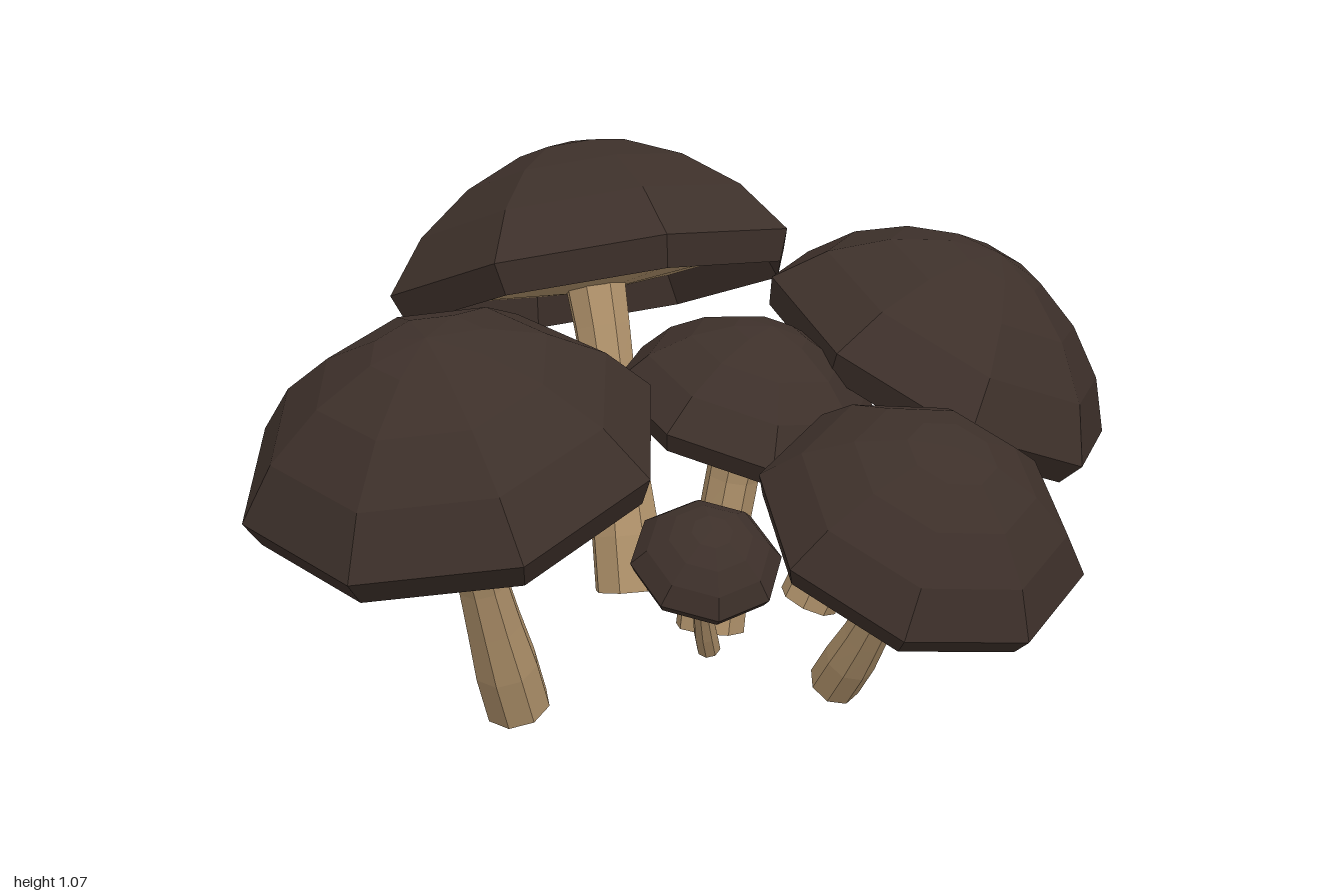
import * as THREE from 'three';

const SIDES = 8;
const UP = new THREE.Vector3(0, 1, 0);
const capMat = new THREE.MeshStandardMaterial({ color: 0x3d302a, flatShading: true });
const stemMat = new THREE.MeshStandardMaterial({ color: 0xb0926b, flatShading: true });
const gillMat = new THREE.MeshStandardMaterial({ color: 0xb0926b, flatShading: true });

// Profiles for a cap of radius 1, measured from its widest ring
const CAP_PROFILE = [[0.88, 0.01], [0.94, -0.14], [1, 0], [0.81, 0.25], [0.55, 0.45], [0.27, 0.58], [0, 0.63]];
const GILL_PROFILE = [[0, -0.1], [0.88, 0.01]];

// cap: centre of the widest ring, axis: cap tilt, yaw: corner angle in degrees
const MUSHROOMS = [
  { name: 'backMushroom', cap: [0.115, 0.755, -0.525], radius: 0.485, axis: [0.03, 0.92, -0.375], yaw: 8, base: [0.08, 0.055, -0.3], stem: 0.082 },
  { name: 'rightMushroom', cap: [-0.6, 0.64, 0.205], radius: 0.42, axis: [-0.26, 0.96, 0.18], yaw: 9, base: [-0.405, 0.02, 0.08], stem: 0.07 },
  { name: 'leftMushroom', cap: [0.625, 0.64, 0.125], radius: 0.42, axis: [0.39, 1, 0.35], yaw: 26, base: [0.4, 0.05, -0.04], stem: 0.068 },
  { name: 'frontMushroom', cap: [0.175, 0.5, 0.68], radius: 0.33, axis: [0, 0.88, 0.46], yaw: -7, base: [0.18, 0.06, 0.39], stem: 0.055 },
  { name: 'middleMushroom', cap: [0.125, 0.605, 0.135], radius: 0.295, axis: [0.14, 0.95, 0.23], yaw: 22, base: [0.045, 0.11, 0.11], stem: 0.075 },
  { name: 'smallFrontMushroom', cap: [-0.148, 0.4, 0.41], radius: 0.153, axis: [-0.15, 0.84, 0.48], yaw: 20, base: [-0.065, 0.15, 0.285], stem: 0.025 },
  { name: 'smallBackMushroom', cap: [-0.265, 0.425, -0.38], radius: 0.15, axis: [-0.32, 0.95, -0.2], yaw: 10, base: [-0.155, 0.165, -0.32], stem: 0.025 },
  { name: 'tinyMushroom', cap: [-0.51, 0.37, -0.23], radius: 0.105, axis: [-0.4, 0.92, -0.06], yaw: 0, base: [-0.45, 0.2, -0.175], stem: 0.023 },
];

function lathe(profile) {
  return new THREE.LatheGeometry(profile.map(([x, y]) => new THREE.Vector2(x, y)), SIDES);
}

// Cylinder bent along a curve: swollen foot, slim waist, slight flare at the top
function stemGeometry(curve, radius) {
  const geometry = new THREE.CylinderGeometry(1, 1, 1, SIDES, 6);
  const pos = geometry.attributes.position;
  const v = new THREE.Vector3();
  const turn = new THREE.Quaternion();
  for (let i = 0; i < pos.count; i++) {
    const t = pos.getY(i) + 0.5;
    const swell = 0.76 + 0.24 * (1 - THREE.MathUtils.smoothstep(t, 0.12, 0.5)) + 0.12 * THREE.MathUtils.smoothstep(t, 0.7, 1);
    turn.setFromUnitVectors(UP, curve.getTangent(t));
    v.set(pos.getX(i), 0, pos.getZ(i)).multiplyScalar(radius * swell).applyQuaternion(turn).add(curve.getPoint(t));
    pos.setXYZ(i, v.x, v.y, v.z);
  }
  geometry.computeVertexNormals();
  return geometry;
}

function makeMushroom({ name, cap, radius, axis, yaw, base, stem }) {
  const group = new THREE.Group();
  group.name = name;
  const dir = new THREE.Vector3(...axis).normalize();
  const centre = new THREE.Vector3(...cap);
  const foot = new THREE.Vector3(...base);

  // Tilted cap with its gills
  const head = new THREE.Group();
  head.name = 'head';
  const dome = new THREE.Mesh(lathe(CAP_PROFILE), capMat);
  dome.name = 'cap';
  const gills = new THREE.Mesh(lathe(GILL_PROFILE), gillMat);
  gills.name = 'gills';
  head.add(dome, gills);
  head.position.copy(centre);
  head.scale.setScalar(radius);
  head.quaternion.setFromUnitVectors(UP, dir)
    .multiply(new THREE.Quaternion().setFromAxisAngle(UP, -THREE.MathUtils.degToRad(yaw)));

  // Stem meets the cap along the cap's axis
  const top = centre.clone().addScaledVector(dir, radius * -0.04);
  const bend = top.clone().addScaledVector(dir, -0.45 * top.distanceTo(foot));
  const stalk = new THREE.Mesh(stemGeometry(new THREE.QuadraticBezierCurve3(foot, bend, top), stem), stemMat);
  stalk.name = 'stem';

  group.add(head, stalk);
  return group;
}

export function createModel() {
  const model = new THREE.Group();
  model.name = 'mushroomCluster';
  for (const spec of MUSHROOMS) model.add(makeMushroom(spec));
  return model;
}
